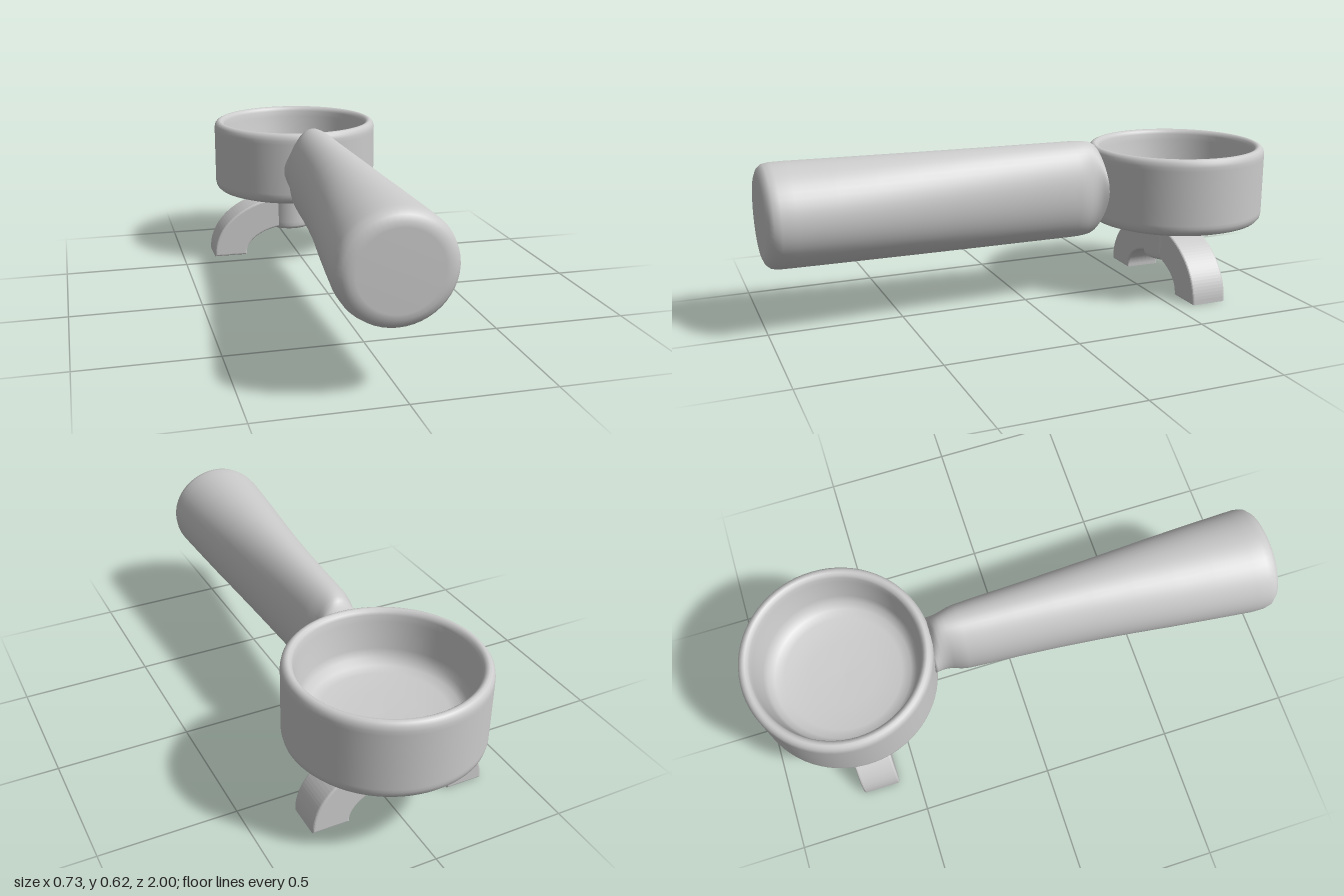
import * as THREE from 'three';

const material = new THREE.MeshStandardMaterial({ color: 0xcccccc });

function part(name, geometry, x = 0, y = 0, z = 0) {
  const mesh = new THREE.Mesh(geometry, material);
  mesh.name = name;
  mesh.position.set(x, y, z);
  return mesh;
}

const lathe = (points, segments) =>
  new THREE.LatheGeometry(points.map(([r, y]) => new THREE.Vector2(r, y)), segments);

// Skin over elliptical sections [z, centre x, half width, half height], front to back
function loft(sections, centreY, sides = 48) {
  const positions = [], index = [];
  sections.forEach(([z, cx, rx, ry], s) => {
    for (let i = 0; i < sides; i++) {
      const a = (i / sides) * Math.PI * 2;
      positions.push(cx + rx * Math.cos(a), centreY + ry * Math.sin(a), z);
      if (s === sections.length - 1) continue;
      const p = s * sides + i, q = s * sides + (i + 1) % sides;
      index.push(p, p + sides, q, q, p + sides, q + sides);
    }
  });
  const geometry = new THREE.BufferGeometry();
  geometry.setAttribute('position', new THREE.Float32BufferAttribute(positions, 3));
  geometry.setIndex(index);
  geometry.computeVertexNormals();
  return geometry;
}

export function createModel() {
  const group = new THREE.Group();
  const bowlZ = -0.65;

  // Open bowl: rounded base, upright wall, rolled rim and a dished inside
  group.add(part('bowl', lathe([
    [0, 0.278], [0.27, 0.278], [0.285, 0.279], [0.315, 0.283], [0.335, 0.29],
    [0.346, 0.302], [0.35, 0.318], [0.35, 0.33], [0.35, 0.54], [0.35, 0.555],
    [0.347, 0.57], [0.339, 0.58], [0.33, 0.584], [0.322, 0.583], [0.313, 0.576],
    [0.308, 0.565], [0.304, 0.54], [0.288, 0.44], [0.278, 0.408], [0.255, 0.388],
    [0.22, 0.377], [0.12, 0.37], [0, 0.368],
  ], 72), 0.012, 0, bowlZ));

  // Handle: full height all along, narrowing in width towards the bowl
  group.add(part('handle', loft([
    [1, -0.035, 0, 0], [1, -0.035, 0.14, 0.135], [0.998, -0.035, 0.16, 0.153],
    [0.99, -0.035, 0.18, 0.172], [0.975, -0.035, 0.194, 0.185], [0.95, -0.035, 0.2, 0.19],
    [0.9, -0.035, 0.199, 0.191], [0.75, -0.029, 0.187, 0.191], [0.6, -0.023, 0.174, 0.191],
    [0.45, -0.017, 0.159, 0.191], [0.3, -0.012, 0.145, 0.191], [0.15, -0.008, 0.133, 0.191],
    [0, -0.005, 0.123, 0.191], [-0.12, -0.003, 0.116, 0.191], [-0.19, -0.002, 0.111, 0.191],
    [-0.22, -0.001, 0.105, 0.19], [-0.245, 0, 0.095, 0.188], [-0.265, 0, 0.09, 0.184],
    [-0.282, 0, 0.09, 0.175], [-0.295, 0, 0.094, 0.16], [-0.308, 0, 0.1, 0.13],
    [-0.32, 0, 0.105, 0.1], [-0.33, 0, 0, 0],
  ], 0.43), 0, 0, 0));

  // Short outlet boss under the bowl
  group.add(part('outletBoss', lathe([
    [0, 0.108], [0.08, 0.108], [0.09, 0.11], [0.097, 0.115], [0.1, 0.124],
    [0.1, 0.14], [0.1, 0.285],
  ], 40), -0.014, 0, bowlZ));

  // Twin spout: one flattened arch passing through the boss
  const bevel = 0.008, depth = 0.145;
  const arch = new THREE.Shape();
  arch.moveTo(0.339 - bevel, bevel);
  arch.absellipse(0, bevel, 0.339 - bevel, 0.255 - 2 * bevel, 0, Math.PI, false, 0);
  arch.lineTo(-0.198 - bevel, bevel);
  arch.absellipse(0, bevel, 0.198 + bevel, 0.122, Math.PI, 0, true, 0);
  arch.closePath();
  const spout = new THREE.ExtrudeGeometry(arch, {
    depth: depth - 2 * bevel, bevelEnabled: true, bevelSize: bevel,
    bevelThickness: bevel, bevelSegments: 3, curveSegments: 32,
  });
  spout.translate(0, 0, bevel - depth / 2);
  group.add(part('twinSpout', spout, -0.026, 0, bowlZ + 0.003));

  return group;
}
